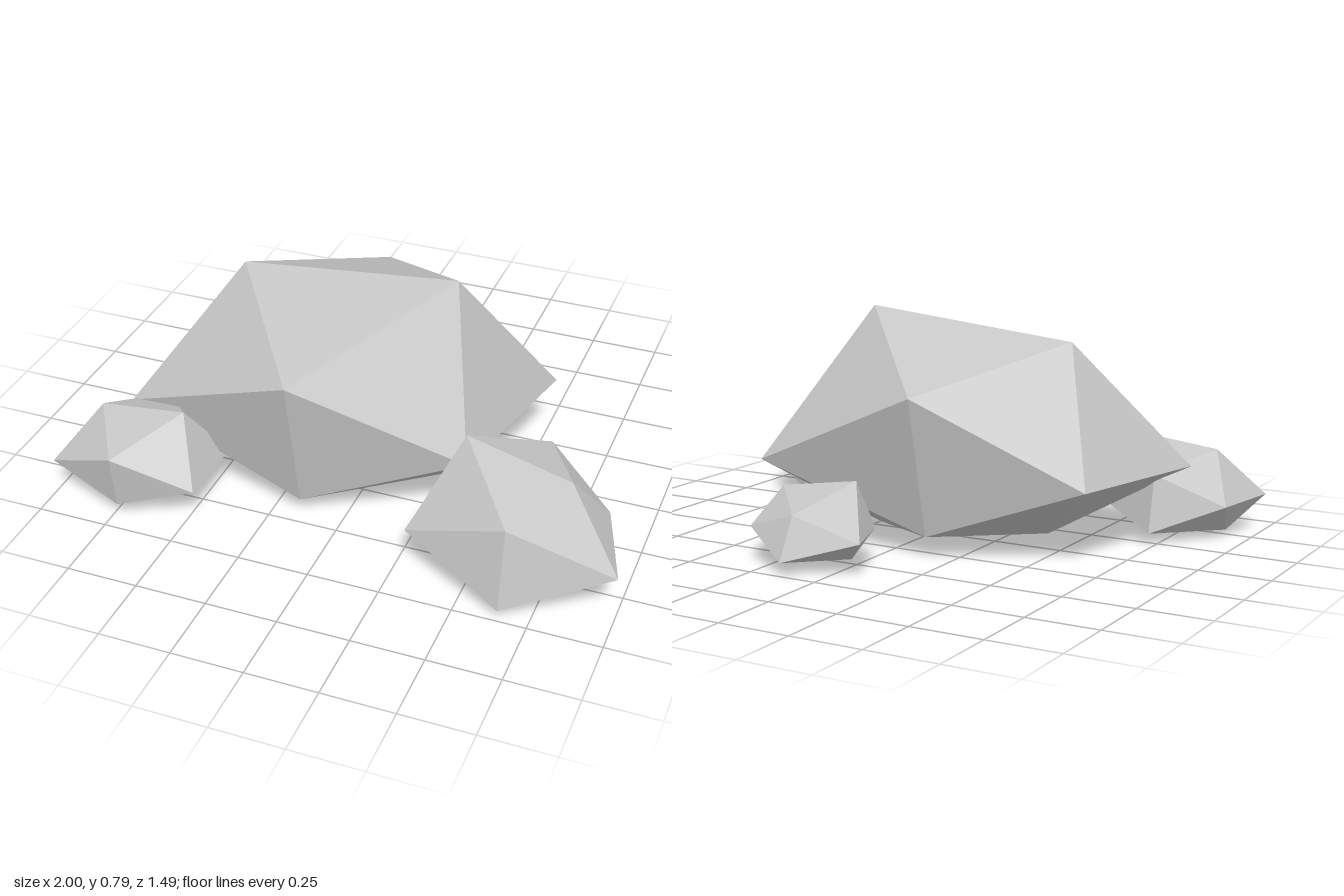
import * as THREE from 'three';

const stone = new THREE.MeshStandardMaterial({ color: 0xc6c6c6 });
stone.name = 'stoneGrey';

// Each boulder is a distorted icosahedron whose twelve corners lie on three
// crossing quads. Quad corners are ordered --, +-, -+, ++.
//   ridge: [x, y] at z = centre z    sides: [z, y] at x = centre x
//   waist: [x, z] at y = centre y
const boulders = [
  {
    name: 'mainBoulder', centre: [-0.15, 0.26, 0.05],
    ridge: [[-0.43, 0.04], [0.25, 0], [-0.51, 0.71], [0.27, 0.79]],
    sides: [[-0.31, 0.07], [0.455, 0.06], [-0.42, 0.555], [0.555, 0.57]],
    waist: [[-0.69, -0.21], [0.54, -0.28], [-0.82, 0.37], [0.405, 0.33]],
  },
  {
    name: 'rightFrontRock', centre: [-0.73, 0.13, 0.485],
    ridge: [[-0.91, 0.02], [-0.58, 0.03], [-0.87, 0.305], [-0.56, 0.34]],
    sides: [[0.22, 0.04], [0.69, 0.05], [0.26, 0.24], [0.715, 0.25]],
    waist: [[-0.955, 0.36], [-0.455, 0.36], [-1, 0.635], [-0.465, 0.635]],
  },
  {
    name: 'leftFrontRock', centre: [0.65, 0.16, 0.415],
    ridge: [[0.45, 0.022], [0.845, 0.02], [0.43, 0.445], [0.79, 0.348]],
    sides: [[0.15, 0.045], [0.745, 0.037], [0.16, 0.308], [0.688, 0.313]],
    waist: [[0.325, 0.21], [0.89, 0.28], [0.287, 0.608], [1, 0.608]],
  },
  {
    name: 'backRock', centre: [0.138, 0.118, -0.53],
    ridge: [[0, 0.025], [0.27, 0.025], [-0.02, 0.29], [0.268, 0.245]],
    sides: [[-0.745, 0.043], [-0.378, 0.05], [-0.67, 0.185], [-0.358, 0.2]],
    waist: [[-0.115, -0.66], [0.335, -0.63], [-0.035, -0.44], [0.412, -0.392]],
  },
];

function makeBoulder({ name, centre, ridge, sides, waist }) {
  const geometry = new THREE.IcosahedronGeometry(1, 0);
  const p = geometry.attributes.position;
  const [cx, cy, cz] = centre;
  const pick = (quad, a, b) => quad[(a > 0 ? 1 : 0) + (b > 0 ? 2 : 0)];

  // Move every corner to its place on the quad it belongs to
  for (let i = 0; i < p.count; i++) {
    const x = p.getX(i), y = p.getY(i), z = p.getZ(i);
    if (Math.abs(z) < 0.01) {
      const [px, py] = pick(ridge, x, y);
      p.setXYZ(i, px, py, cz);
    } else if (Math.abs(x) < 0.01) {
      const [pz, py] = pick(sides, z, y);
      p.setXYZ(i, cx, py, pz);
    } else {
      const [px, pz] = pick(waist, x, z);
      p.setXYZ(i, px, cy, pz);
    }
  }
  geometry.computeVertexNormals(); // separate triangles give flat facets
  const mesh = new THREE.Mesh(geometry, stone);
  mesh.name = name;
  return mesh;
}

export function createModel() {
  const group = new THREE.Group();
  group.name = 'rockCluster';
  for (const b of boulders) group.add(makeBoulder(b));
  return group;
}
